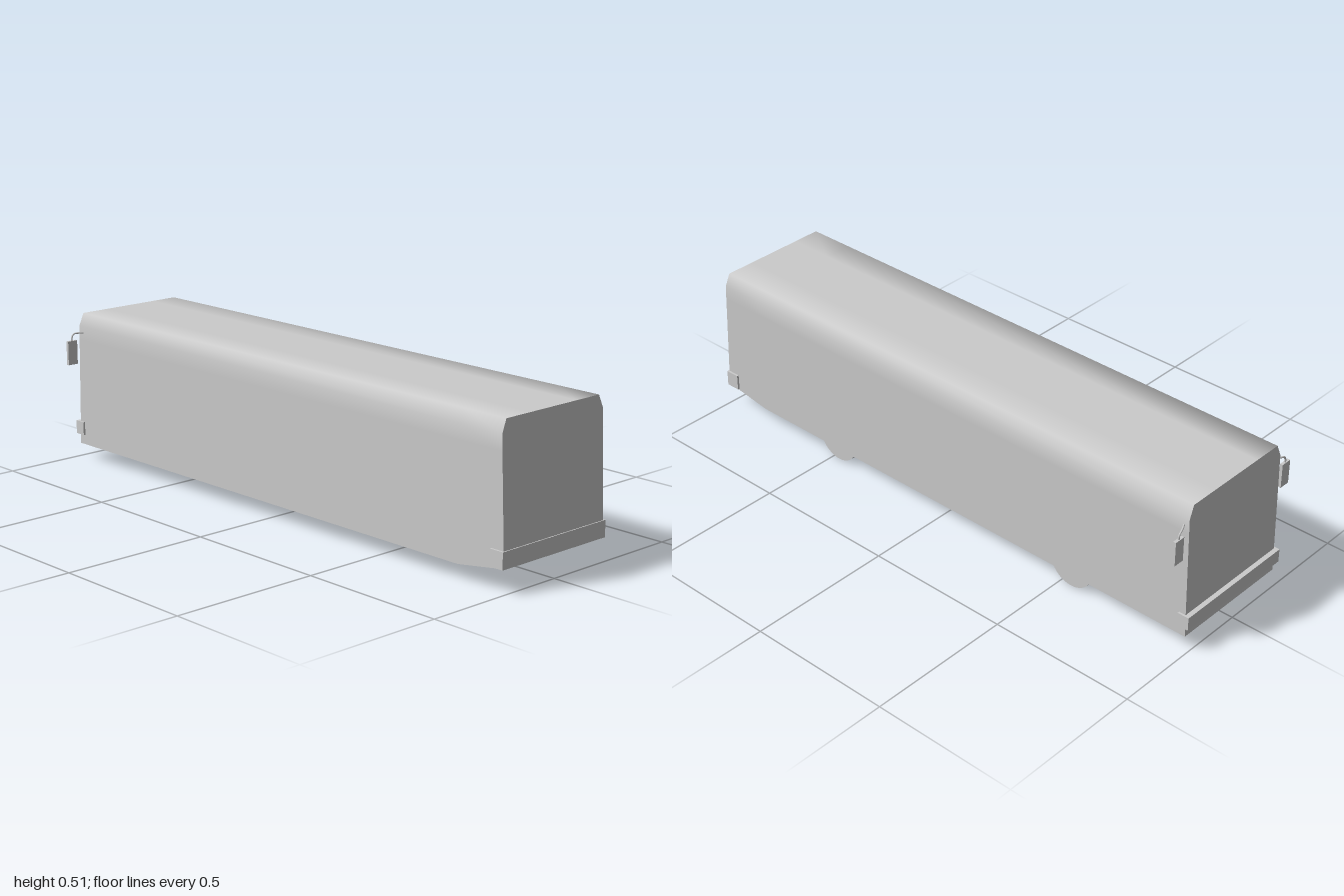
import * as THREE from 'three';
import { toCreasedNormals } from 'three/addons/utils/BufferGeometryUtils.js';

const material = new THREE.MeshStandardMaterial({ color: 0xcccccc });

function part(name, geometry, x = 0, y = 0, z = 0) {
  const mesh = new THREE.Mesh(geometry, material);
  mesh.name = name;
  mesh.position.set(x, y, z);
  return mesh;
}

// Lofted shell: one convex section repeated along z, with leaning ends and a raised tail
function bodyGeometry() {
  const half = [[0.218, 0.05], [0.218, 0.42], [0.218, 0.47], [0.2, 0.512], [0.1, 0.512]];
  const section = [...half, ...half.map(([x, y]) => [-x, y]).reverse()];
  const n = section.length;
  const stations = [
    { z: -0.986, floor: 0.05, lean: 0.011 },
    { z: 0.82, floor: 0.05, lean: 0 },
    { z: 0.999, floor: 0.078, lean: -0.02 },
  ];
  const positions = [], index = [];
  for (const { z, floor, lean } of stations) {
    for (const [x, y] of section) {
      const h = Math.max(y, floor);
      positions.push(x, h, z + lean * (h - floor) / (0.512 - floor));
    }
  }
  for (let s = 0; s < stations.length - 1; s++) {
    for (let i = 0; i < n; i++) {
      const a = s * n + i, b = s * n + (i + 1) % n;
      index.push(a, b, b + n, a, b + n, a + n);
    }
  }
  const last = (stations.length - 1) * n;
  for (let i = 1; i < n - 1; i++) {
    index.push(0, i + 1, i);
    index.push(last, last + i, last + i + 1);
  }
  // Sections run anticlockwise seen from +z, so the sides are flipped to face outward
  const sideCount = (stations.length - 1) * n * 6;
  for (let k = 0; k < sideCount; k += 3) {
    [index[k + 1], index[k + 2]] = [index[k + 2], index[k + 1]];
  }
  for (let k = 0; k < sideCount; k += 3) {
    [index[k + 1], index[k + 2]] = [index[k + 2], index[k + 1]];
  }
  const geometry = new THREE.BufferGeometry();
  geometry.setAttribute('position', new THREE.Float32BufferAttribute(positions, 3));
  geometry.setIndex(index);
  return toCreasedNormals(geometry, 1.25);
}

// Mirror plate hanging from a bent arm; side is +1 or -1 along x
function mirror(name, side, drop) {
  const group = new THREE.Group();
  group.name = name;
  const path = new THREE.CatmullRomCurve3([
    [0.214, 0.448, -0.955], [0.235, 0.448, -0.966], [0.247, 0.446, -0.97],
    [0.255, 0.437, -0.97], [0.257, 0.415, -0.97],
  ].map(([x, y, z]) => new THREE.Vector3(side * x, y - drop, z)));
  group.add(part('mirrorArm', new THREE.TubeGeometry(path, 16, 0.003, 8)));
  group.add(part('mirrorPlate', new THREE.BoxGeometry(0.038, 0.083, 0.01),
    side * 0.2565, 0.382 - drop, -0.97));
  return group;
}

export function createModel() {
  const model = new THREE.Group();
  model.name = 'bus';
  model.add(part('body', bodyGeometry()));

  // Bumpers wrap the corners at both ends
  model.add(part('frontBumper', new THREE.BoxGeometry(0.45, 0.054, 0.05), 0, 0.103, 0.975));
  model.add(part('rearBumper', new THREE.BoxGeometry(0.45, 0.046, 0.04), 0, 0.107, -0.98));

  // Wheels under the left side
  const wheel = new THREE.CylinderGeometry(0.081, 0.081, 0.098, 40).rotateZ(Math.PI / 2);
  for (const z of [0.475, -0.54]) model.add(part('wheel', wheel, 0.159, 0.081, z));

  model.add(mirror('leftMirror', 1, 0.004));
  model.add(mirror('rightMirror', -1, 0));
  return model;
}
